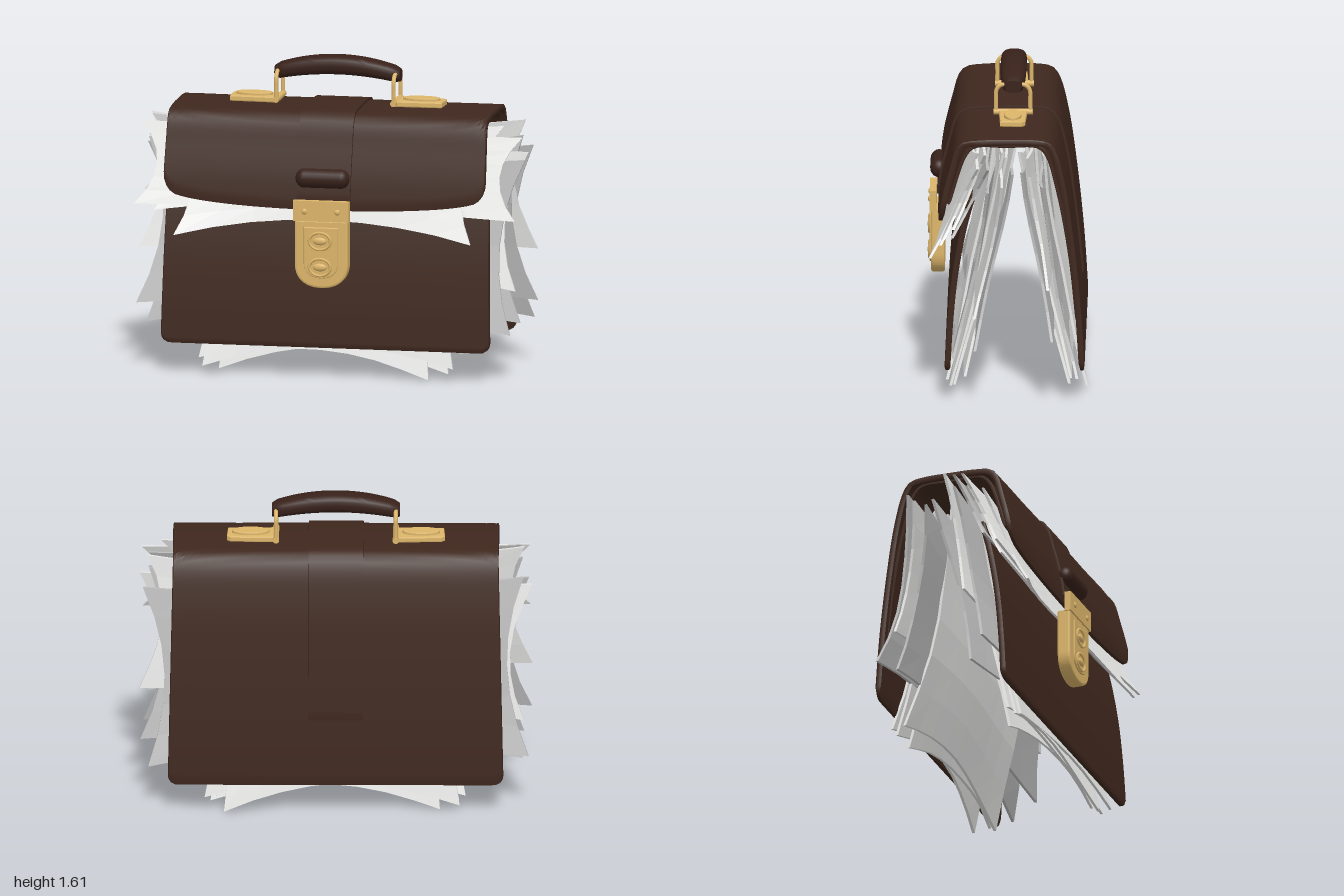
import * as THREE from 'three';
import { toCreasedNormals } from 'three/addons/utils/BufferGeometryUtils.js';

export function createModel() {
  const model = new THREE.Group();
  model.name = 'briefcase';
  const mat = (name, color, opts = {}) => {
    const m = new THREE.MeshStandardMaterial({ color, ...opts });
    m.name = name;
    return m;
  };
  const leather = mat('brown leather', 0x3e271d);
  const darkLeather = mat('dark leather', 0x38211a);
  const brass = mat('brass', 0xdcb56a);
  const paper = mat('paper', 0xe8e8e7, { flatShading: true });
  const greyPaper = mat('grey paper', 0xbebebe, { flatShading: true });

  const add = (name, geo, material, x = 0, y = 0, z = 0, parent = model) => {
    const mesh = new THREE.Mesh(geo, material);
    mesh.name = name;
    mesh.position.set(x, y, z);
    parent.add(mesh);
    return mesh;
  };
  // Move every vertex of a geometry by a rule
  const warp = (geo, rule) => {
    const p = geo.attributes.position;
    for (let i = 0; i < p.count; i++) p.setXYZ(i, ...rule(p.getX(i), p.getY(i), p.getZ(i)));
    geo.computeVertexNormals();
    return geo;
  };

  // Leather sheet following a side profile of [z, y] points; offsets lie along the outward normal
  const curveOf = (pts) => {
    const c = new THREE.CatmullRomCurve3(pts.map(([z, y]) => new THREE.Vector3(0, y, z)));
    c.arcLengthDivisions = 400;
    return c;
  };
  const sheetOnCurve = (curve, o) => {
    const len = curve.getLength();
    const corner = (x, hw, r) => {
      const d = Math.abs(x) - (hw - r);
      return r > 0 && d > 0 ? r - Math.sqrt(Math.max(0, r * r - d * d)) : 0;
    };
    const geo = new THREE.BoxGeometry(2, 2, 1, 32, 64, 1);
    warp(geo, (u, v, w) => {
      const x = o.half * Math.sin(u * Math.PI / 2);
      const a = o.from + o.sag * u * u + corner(x, o.half, o.r0);
      const b = len - o.to - corner(x, o.half, o.r1);
      const s = THREE.MathUtils.clamp((a + (b - a) * (v + 1) / 2) / len, 0, 1);
      const p = curve.getPointAt(s), t = curve.getTangentAt(s);
      const edge = Math.abs(u) > 0.99 || Math.abs(v) > 0.99 ? 0.55 : 1;
      const d = o.offset + w * o.thick * edge;
      const flare = o.flare ? 1 + 0.035 * (1 - Math.min(1, p.y / 1.3)) : 1;
      return [x * flare, p.y - t.z * d, p.z + t.y * d];
    });
    return toCreasedNormals(geo, 0.6);
  };

  // Case: back, top and flap in one piece, with the front panel and lining
  const shell = curveOf([[0.35, 0.87], [0.325, 1.03], [0.285, 1.19], [0.25, 1.305], [0.22, 1.336], [0.13, 1.35], [0, 1.353],
    [-0.14, 1.352], [-0.215, 1.338], [-0.25, 1.29], [-0.295, 1.12], [-0.335, 0.85], [-0.372, 0.5], [-0.395, 0.15]]);
  add('flapTopAndBack', sheetOnCurve(shell,
    { half: 0.83, from: 0, to: 0, sag: 0.1, r0: 0.07, r1: 0.05, offset: -0.008, thick: 0.03, flare: true }), leather);
  const front = curveOf([[0.3, 0.15], [0.285, 0.4], [0.26, 0.65], [0.215, 0.9], [0.18, 1.03], [0.17, 1.06]]);
  add('frontPanel', sheetOnCurve(front,
    { half: 0.83, from: 0, to: 0, sag: 0, r0: 0.05, r1: 0.02, offset: 0, thick: 0.03, flare: true }), leather);
  const lining = curveOf([[0.3, 1.0], [0.205, 1.28], [0.16, 1.32], [0, 1.322],
    [-0.16, 1.32], [-0.205, 1.28], [-0.265, 1.08], [-0.325, 0.75], [-0.363, 0.4]]);
  add('lining', sheetOnCurve(lining,
    { half: 0.81, from: 0, to: 0, sag: 0.02, r0: 0, r1: 0, offset: 0, thick: 0.018 }), leather);

  // Strap over the top, with the rolled loop at its front end
  add('strap', sheetOnCurve(shell,
    { half: 0.14, from: 0.04, to: 0.35, sag: 0, r0: 0, r1: 0, offset: 0.009, thick: 0.02 }), leather);
  const roll = new THREE.CapsuleGeometry(0.045, 0.19, 8, 20);
  roll.rotateZ(Math.PI / 2);
  add('strapLoop', roll, darkLeather, -0.005, 1.035, 0.35).scale.y = 1.1;

  // Handle grip: softly squared, thick in the middle, bowed down at the ends
  const square = (v) => Math.sign(v) * Math.abs(v) ** 0.75;
  const grip = new THREE.CylinderGeometry(1, 1, 2, 24, 24);
  grip.rotateZ(-Math.PI / 2);
  warp(grip, (t, y, z) => {
    const e = Math.abs(t) > 0.99 ? 0.8 : 1;
    return [t * 0.325, 1.56 - 0.045 * t * t + square(y) * e * (0.05 - 0.01 * t * t),
      -0.03 + square(z) * e * (0.066 - 0.016 * t ** 4)];
  });
  add('handleGrip', toCreasedNormals(grip, 0.9), darkLeather);

  const plateOf = (shape, depth, bevel) => new THREE.ExtrudeGeometry(shape,
    { depth, bevelThickness: bevel, bevelSize: bevel, bevelSegments: 2, curveSegments: 16 });
  const ellipse = (rx, ry) => new THREE.Shape().absellipse(0, 0, rx, ry, 0, Math.PI * 2);

  // Brass handle mounts, mirrored
  for (const side of [-1, 1]) {
    const mount = new THREE.Group();
    mount.name = side > 0 ? 'leftHandleMount' : 'rightHandleMount';
    model.add(mount);
    const base = new THREE.Shape([[-0.12, -0.066], [0.12, -0.058], [0.125, 0.045], [0.11, 0.058], [-0.12, 0.066]]
      .map(([x, y]) => new THREE.Vector2(x * side, y)));
    const lay = (m) => { m.rotation.x = -Math.PI / 2; };
    lay(add('mountPlate', plateOf(base, 0.018, 0.006), brass, side * 0.425, 1.367, -0.03, mount));
    lay(add('mountOval', plateOf(ellipse(0.09, 0.04), 0.01, 0.005), brass, side * 0.435, 1.39, -0.03, mount));
    const ring = new THREE.CatmullRomCurve3([[1.375, -0.118], [1.44, -0.117], [1.495, -0.115], [1.52, -0.095],
      [1.525, -0.03], [1.52, 0.035], [1.495, 0.055], [1.44, 0.057], [1.375, 0.058]]
      .map(([y, z]) => new THREE.Vector3(side * 0.305, y, z)));
    add('handleRing', new THREE.TubeGeometry(ring, 40, 0.011, 10), brass, 0, 0, 0, mount);
    const pin = add('ringPin', new THREE.CylinderGeometry(0.016, 0.016, 0.2, 14), brass, side * 0.305, 1.382, -0.03, mount);
    pin.rotation.x = Math.PI / 2;
  }

  // Brass lock: riveted hasp above a round-ended body with two oval buttons
  const lock = new THREE.Group();
  lock.name = 'lock';
  model.add(lock);
  add('hasp', new THREE.BoxGeometry(0.29, 0.105, 0.035), brass, -0.005, 0.872, 0.38, lock);
  for (const x of [-0.09, 0.08]) {
    const rivet = add('rivet', new THREE.SphereGeometry(0.015, 14, 8), brass, x, 0.87, 0.397, lock);
    rivet.scale.z = 0.6;
  }
  const tongue = (w, top, bottom) => {
    const s = new THREE.Shape();
    const r = w * 0.85;
    s.moveTo(-w, top);
    s.lineTo(-w, bottom + r);
    s.bezierCurveTo(-w, bottom + r * 0.35, -w * 0.6, bottom, 0, bottom);
    s.bezierCurveTo(w * 0.6, bottom, w, bottom + r * 0.35, w, bottom + r);
    s.lineTo(w, top);
    s.closePath();
    return s;
  };
  add('lockBody', plateOf(tongue(0.128, 0.815, 0.483), 0.05, 0.01), brass, -0.005, 0, 0.33, lock);
  add('lockFace', plateOf(tongue(0.085, 0.785, 0.53), 0.004, 0.004), brass, -0.005, 0, 0.39, lock);
  for (const y of [0.718, 0.583]) {
    const rim = add('buttonRim', new THREE.TorusGeometry(0.055, 0.008, 8, 28), brass, -0.01, y, 0.398, lock);
    rim.scale.y = 0.8;
    const button = add('button', new THREE.SphereGeometry(1, 18, 10), brass, -0.01, y, 0.398, lock);
    button.scale.set(0.036, 0.02, 0.012);
  }

  // Papers: bowed sheets with flared corners, leaning along a depth rule z(y, x)
  const papers = new THREE.Group();
  papers.name = 'papers';
  model.add(papers);
  const sheet = (name, [w, h, cy, rot], seed, depth, material, bow = 0.17) => {
    const c = Math.cos(rot), s = Math.sin(rot);
    const geo = new THREE.BoxGeometry(2, 2, 1, 8, 6, 1);
    warp(geo, (u, v, k) => {
      const a = u * w / 2 * (1 - 0.1 + 0.1 * v * v);
      const b = v * h / 2 * (1 - bow + bow * u * u);
      const x = THREE.MathUtils.clamp(a * c - b * s, -1, 1);
      const y = THREE.MathUtils.clamp(cy + a * s + b * c, 0, 1.295);
      const ripple = 0.009 * Math.sin(5 * x + seed * 2.1) + 0.007 * Math.sin(7 * y + seed * 3.7);
      return [x, y, depth(y, x) + ripple + k * 0.014];
    });
    add(name, geo, material, 0, 0, 0, papers);
  };
  // Two leaning stacks mixing tall and wide sheets: [width, height, centre height, turn]
  const layout = [[1.2, 1.22, 0.65, 0.05], [1.94, 0.92, 0.72, 0.03], [1.3, 1.2, 0.65, -0.03], [1.98, 0.7, 0.88, -0.08],
    [1.14, 1.25, 0.65, -0.06], [1.95, 0.88, 0.73, -0.05], [1.3, 1.22, 0.66, 0.02]];
  const stacks = [['frontStackSheet', 0.275, -0.34, 0.07, 1], ['backStackSheet', -0.365, 0.365, -0.12, -1]];
  stacks.forEach(([name, z0, lean, bend, turn], n) => {
    layout.forEach(([w, h, cy, rot], i) => {
      const off = (i - 3) * 0.0125;
      const depth = (y, x) => {
        const t = y / 1.28;
        return z0 + lean * t + bend * t * t + off * (0.9 + 0.4 * t + 0.9 * x * x);
      };
      sheet(name, [w, h, cy, rot * turn], i + n * 7, depth, i % 4 === 1 ? greyPaper : paper);
    });
  });
  // Loose sheets spilling out beneath the flap
  const spill = (off) => (y, x) => {
    const t = (1.28 - y) / 0.55;
    return 0.13 + 0.2 * t + 0.09 * x * x * t * t + off;
  };
  sheet('spilledSheet', [1.54, 0.55, 1.0, 0], 3, spill(0.012), paper, 0.32);
  sheet('spilledSheet', [1.98, 0.4, 1.055, -0.01], 5, spill(-0.008), paper, 0.06);
  sheet('spilledSheet', [1.8, 0.4, 1.07, 0.04], 8, spill(-0.03), paper, 0.2);
  sheet('spilledSheet', [1.9, 0.36, 1.08, -0.03], 11, spill(-0.055), greyPaper, 0.2);

  return model;
}
